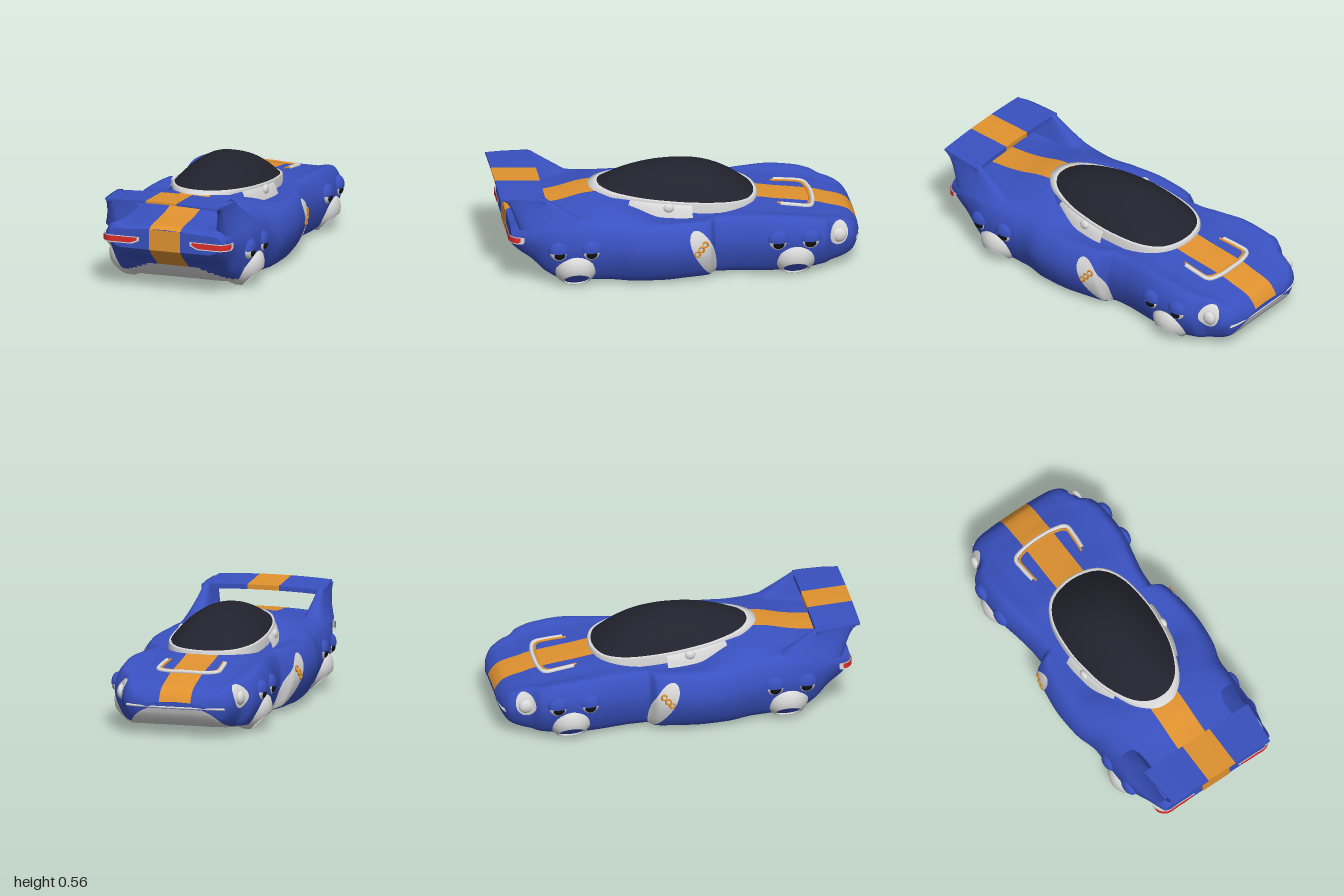
import * as THREE from 'three';

const mat = (name, color, double) => {
  const m = new THREE.MeshStandardMaterial({ color });
  m.name = name;
  if (double) m.side = THREE.DoubleSide;
  return m;
};
const blue = mat('blue paint', 0x3951c0, true);
const orange = mat('orange stripe', 0xe0922f, true);
const white = mat('white trim', 0xdadada, true);
const glass = mat('dark glass', 0x22222e, true);
const red = mat('red lamp', 0xe02c2c, true);
const black = mat('black pupil', 0x111114);

// Body stations: z, half width, floor y, shoulder y, inner deck y, centre deck y
const STATIONS = [
  [-1, .17, .165, .19, .195, .2], [-.985, .25, .13, .222, .225, .228], [-.95, .305, .085, .262, .262, .265],
  [-.9, .328, .06, .29, .285, .285], [-.84, .35, .045, .31, .3, .3], [-.79, .4, .04, .325, .312, .315],
  [-.7, .42, .03, .345, .33, .33], [-.55, .422, .02, .36, .345, .35], [-.4, .395, .015, .36, .36, .37],
  [-.28, .375, .015, .355, .355, .362], [-.19, .372, .015, .355, .35, .36], [-.15, .43, .015, .36, .35, .36],
  [-.05, .455, .015, .36, .347, .36], [.1, .47, .01, .36, .352, .365], [.25, .46, .01, .36, .395, .41],
  [.4, .422, .015, .37, .415, .452], [.5, .422, .02, .38, .405, .445], [.65, .42, .03, .405, .39, .41],
  [.75, .395, .08, .415, .385, .395], [.82, .375, .15, .405, .382, .39], [.9, .352, .21, .385, .375, .382],
  [.94, .335, .25, .355, .357, .367],
];

// Monotone cubic interpolation of the stations
function station(z) {
  const S = STATIONS, n = S.length;
  let i = 0;
  while (i < n - 2 && z > S[i + 1][0]) i++;
  const slope = (a, c) => (S[a + 1][c] - S[a][c]) / (S[a + 1][0] - S[a][0]);
  const tangent = (k, c) => {
    if (k === 0) return slope(0, c);
    if (k === n - 1) return slope(n - 2, c);
    const p = slope(k - 1, c), q = slope(k, c);
    return p * q <= 0 ? 0 : 2 * p * q / (p + q);
  };
  const d = S[i + 1][0] - S[i][0], t = (z - S[i][0]) / d, u = 1 - t;
  return [1, 2, 3, 4, 5].map(c =>
    S[i][c] * (1 + 2 * t) * u * u + S[i + 1][c] * t * t * (3 - 2 * t)
    + d * t * u * (tangent(i, c) * u - tangent(i + 1, c) * t));
}

// Half cross-section from floor centre, round the +x side, to deck centre
function halfSection(z) {
  const [w, yb, ys, yi, yc] = station(z), h = ys - yb;
  const pts = [[0, yb], [.45, yb], [.76, yb + .04 * h], [.91, yb + .25 * h], [1, yb + .57 * h],
    [.955, yb + .83 * h], [.83, ys], [.56, yi], [.3, yi * .5 + yc * .5], [0, yc]];
  const curve = new THREE.CatmullRomCurve3(pts.map(([k, y]) => new THREE.Vector3(.09 + (w - .09) * k, y, z)));
  return [new THREE.Vector3(0, yb, z), ...curve.getPoints(36), new THREE.Vector3(0, yc + .004, z)];
}

// Body surface lookups: side x at (z, y), and deck height at (z, x)
function sideX(z, y) {
  const p = halfSection(z);
  for (let k = 5; k < 28; k++) if (p[k].y <= y && p[k + 1].y > y)
    return p[k].x + (p[k + 1].x - p[k].x) * (y - p[k].y) / (p[k + 1].y - p[k].y);
  return p[26].x;
}
function deckY(z, x) {
  const p = halfSection(z);
  for (let k = 38; k > 18; k--) if (p[k].x <= x && p[k - 1].x > x)
    return p[k].y + (p[k - 1].y - p[k].y) * (x - p[k].x) / (p[k - 1].x - p[k].x);
  return p[24].y;
}

function geometry(positions, index) {
  const g = new THREE.BufferGeometry();
  g.setAttribute('position', new THREE.Float32BufferAttribute(positions, 3));
  g.setIndex(index);
  g.computeVertexNormals();
  return g;
}
// Grid surface from f(u, v)
function grid(nu, nv, f) {
  const pos = [], idx = [];
  for (let i = 0; i <= nu; i++) for (let j = 0; j <= nv; j++) pos.push(...f(i / nu, j / nv));
  for (let i = 0; i < nu; i++) for (let j = 0; j < nv; j++) {
    const a = i * (nv + 1) + j, d = a + nv + 1;
    idx.push(a, a + 1, d + 1, a, d + 1, d);
  }
  return geometry(pos, idx);
}
const tube = (points, radius) => new THREE.TubeGeometry(new THREE.CatmullRomCurve3(points), 48, radius, 8);

export function createModel() {
  const car = new THREE.Group();
  car.name = 'car';
  const add = (name, geo, material, parent = car) => {
    const m = new THREE.Mesh(geo, material);
    m.name = name;
    parent.add(m);
    return m;
  };

  // Body shell with painted stripe and pale floor
  const rows = [];
  for (let i = 0; i < STATIONS.length - 1; i++) for (let s = 0; s < 5; s++)
    rows.push(STATIONS[i][0] + (STATIONS[i + 1][0] - STATIONS[i][0]) * s / 5);
  rows.push(.94);
  const N = 76, pos = [], faces = [[], [], []];
  rows.forEach((z, i) => {
    const half = halfSection(z);
    for (let j = 0; j < N; j++) {
      const p = half[j < 39 ? j : N - j];
      pos.push(j < 39 ? p.x : -p.x, p.y, z);
    }
    if (i === rows.length - 1) return;
    for (let j = 0; j < N; j++) {
      const k = j < 38 ? j : 75 - j, a = i * N + j, b = i * N + (j + 1) % N;
      const floorEnd = .8 - .016 * Math.max(0, k - 2);
      const paint = k === 37 || (k === 0 && z > .8) ? 1 : k <= 8 && z < floorEnd ? 2 : 0;
      faces[paint].push(a, b, b + N, a, b + N, a + N);
    }
  });
  const shell = geometry(pos, faces.flat());
  let start = 0;
  faces.forEach((f, m) => { shell.addGroup(start, f.length, m); start += f.length; });
  add('bodyShell', shell, [blue, orange, white]);

  // Nose and tail closing faces, with a pale lip round the nose
  const cap = (z, flip) => {
    const half = halfSection(z);
    return grid(38, 1, (u, v) => {
      const p = half[Math.round(u * 38)];
      return [(v > .5) === flip ? p.x : -p.x, p.y, z];
    });
  };
  add('nosePanel', cap(-1, true), blue);
  add('tailPanel', cap(.94, false), blue);
  add('tailStripe', new THREE.BoxGeometry(.18, .116, .006).translate(0, .308, .941), orange);
  add('noseLip', tube([-.975, -.985, -.993, -.996, -.993, -.985, -.975].map((z, i) =>
    new THREE.Vector3([-.28, -.245, -.17, 0, .17, .245, .28][i], .172, z)), .007), white);

  // Canopy dome with its rim
  const outline = new THREE.CatmullRomCurve3(
    [[0, -.445], [.15, -.405], [.225, -.3], [.255, -.1], [.245, .06], [.215, .21], [.14, .36], [.06, .42], [0, .43],
      [-.06, .42], [-.14, .36], [-.215, .21], [-.245, .06], [-.255, -.1], [-.225, -.3], [-.15, -.405]]
      .map(([x, z]) => new THREE.Vector3(x, 0, z)), true);
  const edgeY = z => .42 + .09 * z;
  add('canopyGlass', grid(14, 64, (r, a) => {
    const p = outline.getPoint(a % 1), e = edgeY(p.z);
    return [p.x * r, e + (.566 - e) * (1 - r ** 2.15), p.z * r];
  }), glass);
  add('canopyRim', grid(3, 64, (u, a) => {
    const p = outline.getPoint(a % 1), i = Math.round(u * 3);
    const k = [.985, 1.01, 1.03, 1.035][i] + (i > 1 ? .07 * Math.max(0, p.z / .43) ** 4 : 0);
    return [p.x * k, edgeY(p.z) + [.008, .008, .002, -.05][i], p.z * k];
  }), white);

  // Band below the rim: pale side windows, then the painted cabin shoulder behind
  const band = (a0, a1, spread, drop) => grid(4, 40, (u, v) => {
    const p = outline.getPoint((a0 + (a1 - a0) * v) / 16);
    const k = 1.03 + u * (spread - .2 * Math.max(0, p.z / .43) ** 4);
    return [p.x * k, edgeY(p.z) - .006 - drop * u ** 1.6, p.z * (1.03 + (k - 1.03) * Math.max(0, p.z) * 2)];
  });
  add('windowLeft', band(3.2, 5.35, .13, .075), white);
  add('windowRight', band(10.65, 12.8, .13, .075), white);
  add('cabinShoulder', band(5.3, 10.7, .25, .1), blue);

  // Rear wing: a side blade either side of the striped middle
  [['wingLeft', .09, .35, blue], ['wingStripe', -.09, .09, orange], ['wingRight', -.35, -.09, blue]].forEach(([n, x0, x1, m]) => {
    const g = add(n, new THREE.BoxGeometry(1, 1, 1, 4, 1, 6), m).geometry, p = g.attributes.position;
    for (let i = 0; i < p.count; i++) {
      const x = x0 + (p.getX(i) + .5) * (x1 - x0), t = p.getZ(i) + .5;
      const taper = Math.abs(x) > .1 ? 1 - .08 * t : 1;
      const top = .53 + .014 * t - .09 * x * x;
      p.setXYZ(i, x * taper, p.getY(i) > 0 ? top : top - .026 + .014 * t, .75 + .25 * t);
    }
    g.computeVertexNormals();
  });

  // Curved ribbon used by the tail lamps
  const lampPath = new THREE.CatmullRomCurve3([[.145, .945], [.25, .945], [.325, .943], [.36, .915], [.375, .87]]
    .map(([x, z]) => new THREE.Vector3(x, 0, z)));
  const lamp = (y0, y1, t0, t1, out) => grid(24, 4, (u, v) => {
    const p = lampPath.getPoint(t0 + (t1 - t0) * u);
    const round = Math.min(1, .5 + 5 * u, .7 + 5 * (1 - u));
    return [p.x + out * .5, y1 - (1 - v) * (y1 - y0) * round, p.z + out];
  });

  // Decal disc laid on the body side
  const decal = (fz, fy, lift) => grid(6, 32, (r, a) => {
    const c = Math.cos(a * Math.PI * 2) * r, s = Math.sin(a * Math.PI * 2) * r, z = fz(c, s), y = fy(c, s);
    return [sideX(z, y) + lift, y, z];
  });
  const squared = v => Math.sign(v) * Math.abs(v) ** .6;

  for (const side of [1, -1]) {
    const half = new THREE.Group();
    half.name = side > 0 ? 'leftSide' : 'rightSide';
    half.scale.x = side;
    car.add(half);

    // Wing pylon flaring into the rear fender
    add('wingPylon', grid(12, 28, (t, a) => {
      const c = squared(Math.cos(a * Math.PI * 2)), s = squared(Math.sin(a * Math.PI * 2));
      const front = .75 - .25 * t, rear = .98 - .08 * t ** .6;
      const z = (front + rear) / 2 + s * (rear - front) / 2, k = t ** 1.5;
      const outer = .345 + .06 * k * (1 - 2.5 * Math.max(0, z - .72)), inner = .302 - .045 * k;
      return [(outer + inner) / 2 + c * (outer - inner) / 2, .525 - .17 * t, z];
    }), blue, half);

    add('tailLampFrame', lamp(.277, .319, 0, 1, .003), white, half);
    add('tailLamp', lamp(.284, .315, .03, .9, .007), red, half);

    // Slanted side intake with a small coil
    add('sideIntake', decal((c, s) => -.122 + .058 * c * (1 + .3 * s) + .055 * s, (c, s) => .18 + .15 * s, .005), white, half);
    for (let i = 0; i < 3; i++) {
      const z = -.118 + .022 * i, y = .25 - .025 * i;
      add('intakeCoil', new THREE.TorusGeometry(.015, .006, 6, 12).rotateY(Math.PI / 2).translate(sideX(z, y) + .004, y, z), orange, half);
    }

    // Headlamp
    add('headlampFrame', decal(c => -.872 + .052 * c, (c, s) => .23 + .066 * s, .005), white, half);
    add('headlampBulb', new THREE.SphereGeometry(.04, 20, 14).scale(.6, 1, 1)
      .translate(sideX(-.87, .222) + .002, .222, -.872), white, half);

    // Door mirror
    add('doorMirror', new THREE.SphereGeometry(.03, 16, 12).scale(.6, .9, 1).translate(.265, .402, .06), white, half);

    // Wheels as rounded muzzles, each with a pair of lidded eyes above
    for (const wz of [.585, -.625]) {
      const wheel = new THREE.Group();
      wheel.name = wz > 0 ? 'tailWheel' : 'noseWheel';
      half.add(wheel);
      const profile = [[.068, -.018], [.07, 0], [.078, 0], [.104, -.025], [.122, -.06], [.122, -.09], [.108, -.13], [.06, -.15], [0, -.15]];
      const tyre = add('tyre', new THREE.LatheGeometry(profile.map(p => new THREE.Vector2(...p)), 32), white, wheel);
      const hub = add('hub', new THREE.CylinderGeometry(.07, .07, .008, 32).translate(0, -.012, 0), blue, wheel);
      for (const m of [tyre, hub]) {
        m.position.set(.386, .055, wz);
        m.rotation.z = -2.4;
      }
      for (const dz of [-.088, .088]) {
        const z = wz + dz + .01, x = sideX(z, .232) - .016;
        add('eyeball', new THREE.SphereGeometry(.052, 20, 14).scale(.6, 1, 1).translate(x, .232, z), white, wheel);
        add('pupil', new THREE.SphereGeometry(.034, 18, 12).scale(.5, .9, 1).translate(x + .018, .224, z), black, wheel);
        const lid = add('eyelid', new THREE.SphereGeometry(.06, 24, 10, 0, Math.PI * 2, 0, Math.PI / 2).scale(.63, 1, 1), blue, wheel);
        lid.position.set(x, .236, z);
        lid.rotation.z = -.12;
      }
    }
  }

  // Hood vent: pale frame with an orange lining
  const vent = (k, dz) => [[.165, -.57], [.172, -.66], [.168, -.73], [.1, -.755], [0, -.762], [-.1, -.755], [-.168, -.73], [-.172, -.66], [-.165, -.57]]
    .map(([x, z]) => new THREE.Vector3(x * k, deckY(z + dz, Math.abs(x * k)) + .003, z + dz));
  add('hoodVentFrame', tube(vent(1, 0), .012), white);
  add('hoodVentLining', tube(vent(.92, .016), .007), orange);

  return car;
}
